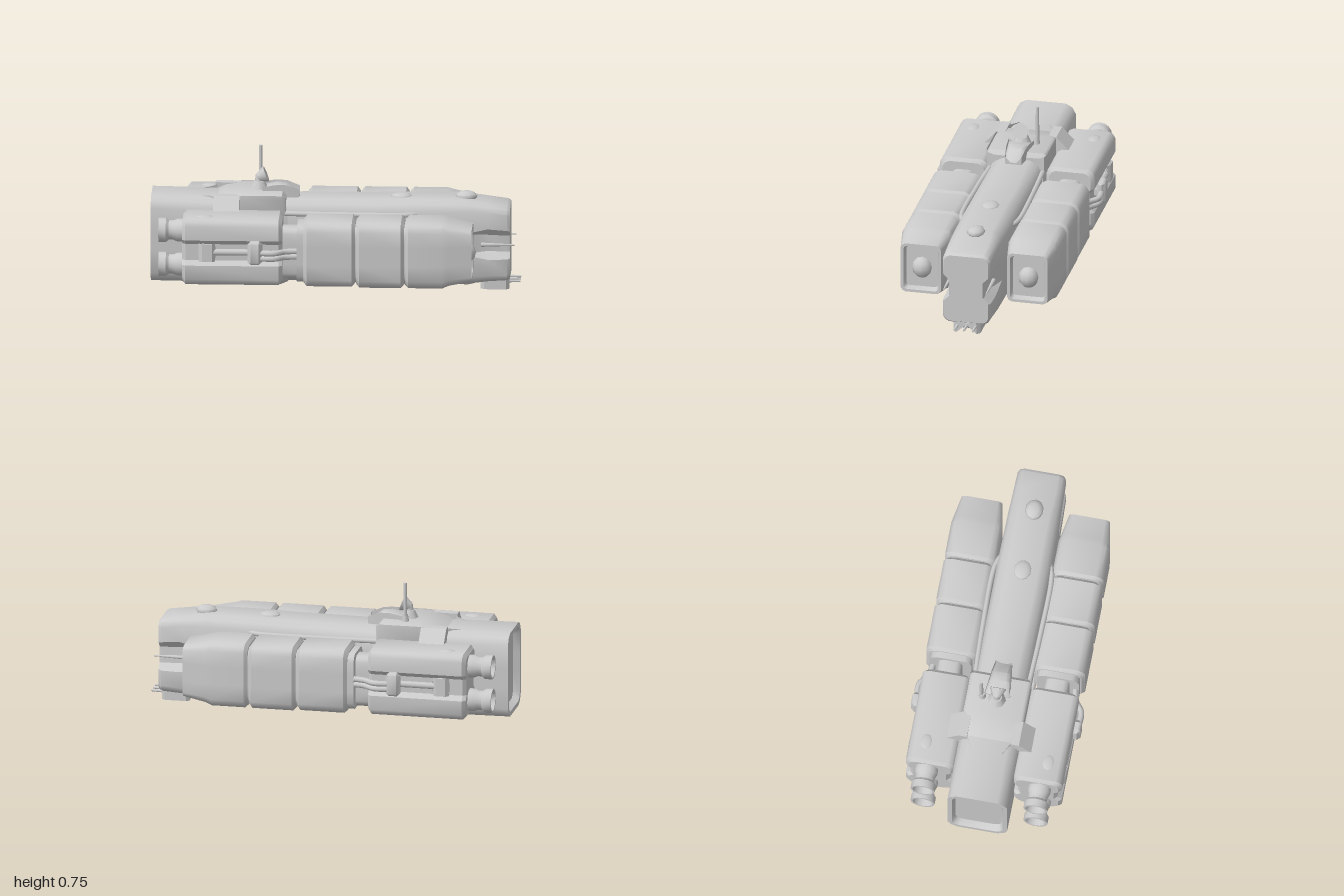
import * as THREE from 'three';
import { toCreasedNormals } from 'three/addons/utils/BufferGeometryUtils.js';

const grey = new THREE.MeshStandardMaterial({ color: 0xcccccc, side: THREE.DoubleSide });

function add(parent, name, geometry, x = 0, y = 0, z = 0) {
  const mesh = new THREE.Mesh(geometry, grey);
  mesh.name = name;
  mesh.position.set(x, y, z);
  parent.add(mesh);
  return mesh;
}

// Chamfered rectangle in (y, z) with an optional groove along both sides
function ring([x, y0, y1, hz, c, g = 0, gh = 0.05]) {
  const m = (y0 + y1) / 2;
  const half = [
    [y1, hz - c], [y1 - c * 0.35, hz - c * 0.35], [y1 - c, hz], [m + gh + g, hz], [m + gh, hz - g],
    [m - gh, hz - g], [m - gh - g, hz], [y0 + c, hz], [y0 + c * 0.35, hz - c * 0.35], [y0, hz - c],
  ];
  const other = half.map(([y, z]) => [y, -z]).reverse();
  return [...half, ...other].map(([y, z]) => [x, y, z]);
}

// Skin a row of sections [x, bottom, top, halfWidth, chamfer, groove, grooveHalfHeight]
function loft(sections) {
  const rings = sections.map(ring), n = rings[0].length, v = [];
  const tri = (...p) => p.forEach((q) => v.push(...q));
  for (let s = 0; s < rings.length - 1; s++) {
    for (let i = 0; i < n; i++) {
      const j = (i + 1) % n;
      const a = rings[s][i], b = rings[s][j], c = rings[s + 1][j], d = rings[s + 1][i];
      tri(a, b, c);
      tri(a, c, d);
    }
  }
  const cap = (k, flip) => {
    const [x, y0, y1] = sections[k], mid = [x, (y0 + y1) / 2, 0];
    for (let i = 0; i < n; i++) {
      const a = rings[k][i], b = rings[k][(i + 1) % n];
      flip ? tri(mid, b, a) : tri(mid, a, b);
    }
  };
  cap(0, true);
  cap(sections.length - 1, false);
  const g = new THREE.BufferGeometry();
  g.setAttribute('position', new THREE.Float32BufferAttribute(v, 3));
  return toCreasedNormals(g, 0.6);
}

// Short block with softened ends
function block(x0, x1, y0, y1, hz, c, g = 0, gh = 0.05) {
  const e = Math.min(0.018, (x1 - x0) / 4);
  return loft([
    [x0, y0 + e, y1 - e, hz - e, c, g, gh], [x0 + e, y0, y1, hz, c, g, gh],
    [x1 - e, y0, y1, hz, c, g, gh], [x1, y0 + e, y1 - e, hz - e, c, g, gh],
  ]);
}

function pipe(points, r) {
  const curve = new THREE.CatmullRomCurve3(points.map((p) => new THREE.Vector3(...p)));
  return new THREE.TubeGeometry(curve, 20, r, 8);
}

// Rod along x
const rod = (length, r0, r1) => new THREE.CylinderGeometry(r1, r0, length, 8).rotateZ(-Math.PI / 2);

function bump(parent, name, x, y, z, sx, sy, sz) {
  const m = add(parent, name, new THREE.SphereGeometry(1, 10, 6), x, y, z);
  m.scale.set(sx, sy, sz);
}

// One side: cargo pod in front, engine block behind
function buildSide(name) {
  const side = new THREE.Group();
  side.name = name;

  add(side, 'rearPodSegment', block(-0.165, 0.115, 0.09, 0.445, 0.14, 0.045));
  add(side, 'middlePodSegment', block(0.12, 0.38, 0.085, 0.445, 0.14, 0.045));
  add(side, 'frontPodSegment', loft([
    [0.385, 0.1, 0.43, 0.125, 0.045], [0.403, 0.085, 0.445, 0.14, 0.045],
    [0.585, 0.085, 0.445, 0.14, 0.045], [0.62, 0.1, 0.435, 0.134, 0.04],
    [0.745, 0.125, 0.41, 0.112, 0.025], [0.745, 0.14, 0.395, 0.097, 0.018],
    [0.71, 0.15, 0.385, 0.087, 0.015],
  ]));
  add(side, 'podCore', loft([[-0.2, 0.11, 0.42, 0.115, 0.04], [0.6, 0.11, 0.42, 0.115, 0.04]]));
  bump(side, 'podNoseDome', 0.712, 0.265, 0, 0.052, 0.06, 0.056);
  add(side, 'podNeck', loft([[-0.32, 0.12, 0.4, 0.065, 0.03], [-0.15, 0.12, 0.4, 0.065, 0.03]]));
  for (const y of [0.255, 0.285]) {
    add(side, 'feedPipe', pipe([[-0.42, y, 0.145], [-0.32, y, 0.15], [-0.26, y, 0.11], [-0.15, y, 0.09]], 0.016));
  }

  add(side, 'engineBlock', block(-0.82, -0.28, 0.095, 0.46, 0.133, 0.035, 0.025, 0.045));
  add(side, 'engineClamp', block(-0.465, -0.385, 0.22, 0.35, 0.025, 0.015), 0, 0, 0.145);
  add(side, 'engineLatch', block(-0.73, -0.64, 0.235, 0.325, 0.025, 0.02), 0, 0, 0.115);
  add(side, 'engineRail', rod(0.3, 0.018, 0.018), -0.55, 0.28, 0.115);

  // Open nozzles, turned about the x axis
  const profile = [[0.062, 0.02], [0.062, -0.03], [0.053, -0.05], [0.053, -0.075], [0.066, -0.09],
    [0.066, -0.13], [0.055, -0.13], [0.045, -0.06], [0.001, -0.05]];
  for (const y of [0.185, 0.375]) {
    const g = new THREE.LatheGeometry(profile.map(([r, h]) => new THREE.Vector2(r, h)), 16).rotateZ(-Math.PI / 2);
    add(side, 'nozzle', toCreasedNormals(g, 0.6), -0.82, y, 0.015);
  }
  for (const [x, y] of [[-0.7, 0.455], [-0.1, 0.09], [0.25, 0.085], [0.5, 0.085]]) {
    bump(side, 'hullBlister', x, y, 0.04, 0.05, 0.012, 0.035);
  }
  return side;
}

export function createModel() {
  const ship = new THREE.Group();
  ship.name = 'spaceship';

  // Rear hull with a recessed stern, then the long grooved bow
  add(ship, 'sternHull', loft([
    [-0.965, 0.08, 0.47, 0.125, 0.035], [-1, 0.065, 0.485, 0.14, 0.04], [-1, 0.04, 0.51, 0.163, 0.055],
    [-0.68, 0.035, 0.505, 0.165, 0.06], [-0.3, 0.022, 0.5, 0.165, 0.07], [-0.26, 0.035, 0.48, 0.15, 0.07],
  ]));
  add(ship, 'bowHull', loft([
    [-0.3, 0.04, 0.495, 0.145, 0.07], [0.2, 0.035, 0.495, 0.145, 0.06], [0.4, 0.03, 0.5, 0.145, 0.06],
    [0.68, 0.03, 0.5, 0.14, 0.055], [0.75, 0.04, 0.49, 0.137, 0.045, 0.02, 0.05],
    [0.82, 0.05, 0.48, 0.135, 0.04, 0.04, 0.045], [0.925, 0.058, 0.465, 0.132, 0.035, 0.035, 0.045],
    [0.94, 0.068, 0.455, 0.122, 0.03, 0.03, 0.045],
  ]));
  for (const s of [-1, 1]) {
    for (const y of [0.43, 0.12]) {
      add(ship, 'hullPipe', pipe([[-0.3, y, s * 0.145], [0, y, s * 0.157], [0.38, y, s * 0.155], [0.44, y, s * 0.13]], 0.014));
    }
    add(ship, 'bowProbe', rod(0.18, 0.012, 0.004), 0.875, 0.26, s * 0.118);
  }

  // Chin sensors
  add(ship, 'chinMount', block(0.78, 0.935, 0.025, 0.075, 0.075, 0.02));
  for (const z of [-0.05, 0, 0.05]) add(ship, 'chinProbe', rod(0.12, 0.011, 0.006), 0.935, 0.042, z);

  // Bridge saddle with a sloped rear and a forward brow
  add(ship, 'bridge', loft([
    [-0.72, 0.44, 0.475, 0.08, 0.015], [-0.6, 0.43, 0.52, 0.15, 0.02], [-0.5, 0.43, 0.535, 0.168, 0.02],
    [-0.29, 0.43, 0.533, 0.168, 0.02], [-0.27, 0.43, 0.51, 0.155, 0.02],
  ]));
  add(ship, 'bridgeBrow', loft([
    [-0.4, 0.47, 0.54, 0.07, 0.02], [-0.32, 0.47, 0.562, 0.06, 0.025],
    [-0.27, 0.47, 0.557, 0.055, 0.025], [-0.2, 0.47, 0.505, 0.045, 0.015],
  ]));

  // Sloping shoulders joining the bridge to the engines
  const shoulder = new THREE.Shape([[0.12, 0.42], [0.12, 0.53], [0.165, 0.53], [0.235, 0.458], [0.3, 0.42]]
    .map(([z, y]) => new THREE.Vector2(z, y)));
  for (const s of [-1, 1]) {
    const g = new THREE.ExtrudeGeometry(shoulder, { depth: 0.14, bevelEnabled: false });
    const m = add(ship, 'shoulder', g, s > 0 ? -0.66 : -0.52);
    m.rotation.y = -s * Math.PI / 2;
    m.position.x = s > 0 ? -0.52 : -0.66;
    const fixed = m.rotation.y;
    m.rotation.y = fixed;
  }

  // Sensor turret and mast
  add(ship, 'turretBase', new THREE.CylinderGeometry(0.03, 0.055, 0.05, 8), -0.42, 0.55);
  add(ship, 'turretNeck', new THREE.CylinderGeometry(0.018, 0.025, 0.05, 8), -0.42, 0.585);
  const dish = add(ship, 'turretDish', new THREE.CylinderGeometry(0.046, 0.022, 0.05, 8), -0.405, 0.602);
  dish.rotation.z = -1.2;
  add(ship, 'mastFoot', new THREE.CylinderGeometry(0.014, 0.022, 0.05, 8), -0.415, 0.55, -0.08);
  add(ship, 'mast', new THREE.CylinderGeometry(0.009, 0.011, 0.22, 8), -0.415, 0.64, -0.085);

  // Blisters along the spine and keel
  for (const [x, y, sy] of [[0.7, 0.5, 0.03], [0.35, 0.495, 0.02],
    [-0.7, 0.035, 0.025], [-0.35, 0.025, 0.02], [0.35, 0.03, 0.025], [0.7, 0.03, 0.02]]) {
    bump(ship, 'hullBlister', x, y, 0, 0.06, sy, 0.05);
  }
  bump(ship, 'keelBlister', -0.55, 0.03, 0, 0.06, 0.03, 0.06);

  // Twin sides, mirrored across the keel line
  const left = buildSide('frontSide');
  left.position.z = 0.295;
  const right = buildSide('backSide');
  right.position.z = -0.295;
  right.scale.z = -1;
  ship.add(left, right);
  return ship;
}
